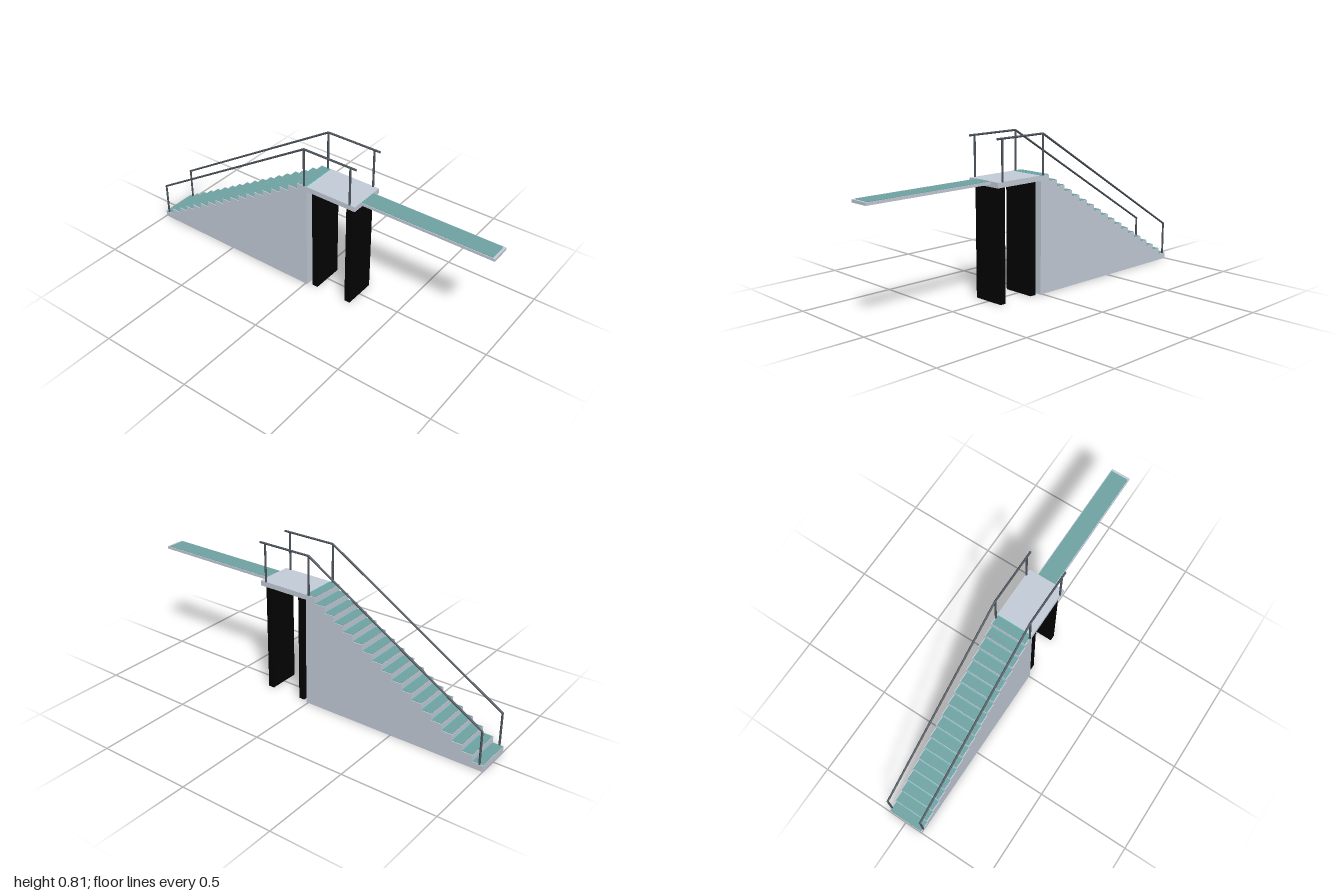
import * as THREE from 'three';

export function createModel() {
  const model = new THREE.Group();
  const mat = (name, color) => {
    const m = new THREE.MeshStandardMaterial({ color });
    m.name = name;
    return m;
  };
  const concrete = mat('concrete grey', 0xc5cedb);
  const grip = mat('teal grip', 0x70a5a4);
  const trim = mat('cyan trim', 0x1fc8cc);
  const black = mat('support black', 0x020202);
  const metal = mat('rail metal', 0x4e555d);

  const add = (name, geometry, material, parent = model) => {
    const mesh = new THREE.Mesh(geometry, material);
    mesh.name = name;
    parent.add(mesh);
    return mesh;
  };
  // Box given by its extents in x and y, centred on z = 0
  const box = (name, x0, x1, y0, y1, depth, material) =>
    add(name, new THREE.BoxGeometry(x1 - x0, y1 - y0, depth), material)
      .position.set((x0 + x1) / 2, (y0 + y1) / 2, 0);

  // Solid staircase: stepped profile extruded across the width
  const steps = 18, startX = -1, endX = 0.01, height = 0.603, width = 0.2;
  const run = (endX - startX) / steps, rise = height / steps;
  const profile = new THREE.Shape();
  profile.moveTo(endX, 0);
  profile.lineTo(endX, height);
  for (let i = steps - 1; i >= 0; i--) {
    profile.lineTo(startX + i * run, (i + 1) * rise);
    profile.lineTo(startX + i * run, i * rise);
  }
  const stairs = new THREE.ExtrudeGeometry(profile, { depth: width, bevelEnabled: false });
  stairs.translate(0, 0, -width / 2);
  add('staircase', stairs, concrete);

  // Thin grip plate on every step, with a fine trim line along its back edge
  for (let i = 0; i < steps; i++) {
    const x = startX + i * run, y = (i + 1) * rise, back = x + run - 0.002;
    box('treadGrip', x + 0.002, back, y - 0.001, y + 0.002, 0.19, grip);
    box('treadTrim', back, x + run, y - 0.001, y + 0.002, 0.19, trim);
  }

  // Platform on two wall-like supports
  box('platform', endX, 0.295, 0.577, 0.604, width, concrete);
  box('innerSupport', 0.035, 0.067, 0, 0.577, 0.174, black);
  box('outerSupport', 0.238, 0.27, 0, 0.577, 0.174, black);

  // Diving board with its grip surface
  box('divingBoard', 0.295, 1, 0.59, 0.604, 0.104, concrete);
  box('boardGrip', 0.297, 0.987, 0.603, 0.606, 0.096, grip);

  // Handrails, mirrored on both sides
  const radius = 0.0053;
  const bar = (name, a, b, parent) => {
    const from = new THREE.Vector3(...a), to = new THREE.Vector3(...b);
    const dir = to.clone().sub(from);
    const mesh = add(name, new THREE.CylinderGeometry(radius, radius, dir.length(), 12), metal, parent);
    mesh.position.copy(from).add(to).multiplyScalar(0.5);
    mesh.quaternion.setFromUnitVectors(new THREE.Vector3(0, 1, 0), dir.normalize());
  };
  for (const side of [1, -1]) {
    const rail = new THREE.Group();
    rail.name = side > 0 ? 'frontHandrail' : 'backHandrail';
    const z = side * 0.097, low = 0.206, top = 0.808;
    bar('slopedRail', [-0.983, low, z], [-0.006, top, z], rail);
    bar('levelRail', [-0.006, top, z], [0.295, top, z], rail);
    bar('bottomPost', [-0.98, rise, z], [-0.98, low, z], rail);
    bar('middlePost', [-0.006, height, z], [-0.006, top, z], rail);
    bar('endPost', [0.263, height, z], [0.263, top, z], rail);
    const joint = add('railJoint', new THREE.SphereGeometry(radius, 12, 8), metal, rail);
    joint.position.set(-0.006, top, z);
    model.add(rail);
  }
  return model;
}
